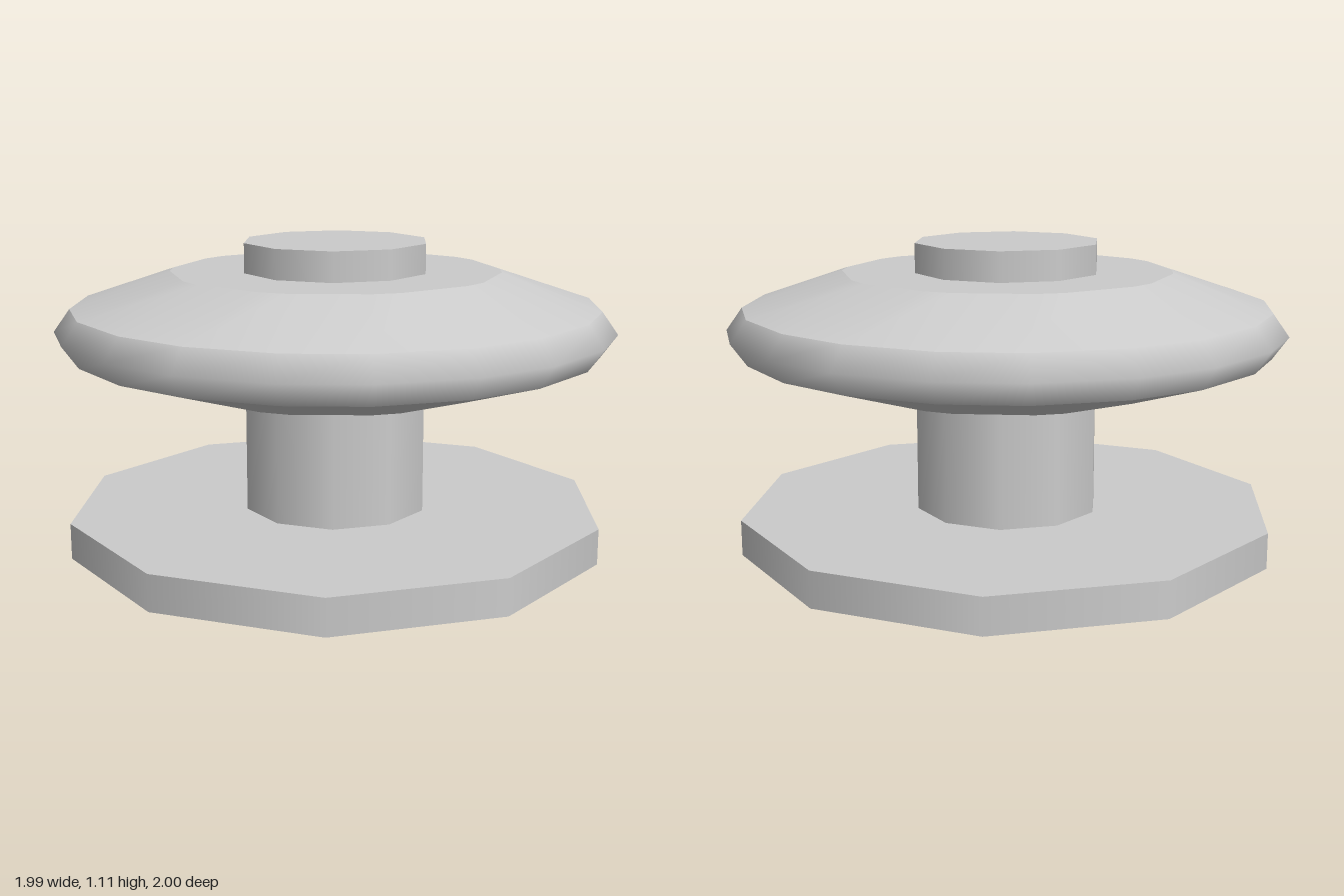
import * as THREE from 'three';

const material = new THREE.MeshStandardMaterial({ color: 0xcccccc });

function add(parent, name, geometry, y = 0) {
  const mesh = new THREE.Mesh(geometry, material);
  mesh.name = name;
  mesh.position.y = y;
  parent.add(mesh);
}

// Rings of the wheel: r = radius, y = height, a = half angle (degrees) of each corner pair.
const rings = [
  { r: 0.597, y: 0.605, a: 4.8 },
  { r: 0.953, y: 0.72, a: 9.6 },
  { r: 1.01, y: 0.8, a: 9.6 },
  { r: 0.953, y: 0.88, a: 9.6 },
  { r: 0.597, y: 1.003, a: 4.8 },
];

// Twenty points: a decagon whose corners are each cut into a pair.
function ringPoints({ r, y, a }) {
  const points = [];
  for (let i = 0; i < 10; i++) {
    for (const s of [-1, 1]) {
      const t = THREE.MathUtils.degToRad(i * 36 + s * a);
      points.push(r * Math.cos(t), y, r * Math.sin(t));
    }
  }
  return points;
}

// Smooth band joining a run of rings from bottom to top.
function band(list) {
  const n = 20, index = [];
  for (let k = 0; k < list.length - 1; k++) {
    for (let i = 0; i < n; i++) {
      const a = k * n + i, b = k * n + (i + 1) % n;
      index.push(a, a + n, b, b, a + n, b + n);
    }
  }
  return build(list.flatMap(ringPoints), index);
}

// Flat lid filling one ring.
function lid(ring, up) {
  const index = [];
  for (let i = 0; i < 20; i++) {
    const j = (i + 1) % 20;
    index.push(20, ...(up ? [j, i] : [i, j]));
  }
  return build([...ringPoints(ring), 0, ring.y, 0], index);
}

function build(positions, index) {
  const g = new THREE.BufferGeometry();
  g.setAttribute('position', new THREE.Float32BufferAttribute(positions, 3));
  g.setIndex(index);
  g.computeVertexNormals();
  return g;
}

export function createModel() {
  const model = new THREE.Group();

  // Ten-sided foot and the post running through the wheel
  add(model, 'base', new THREE.CylinderGeometry(0.983, 0.983, 0.13, 10), 0.065);
  add(model, 'post', new THREE.CylinderGeometry(0.338, 0.338, 1.05, 10), 0.585);

  // Bevelled wheel
  const wheel = new THREE.Group();
  wheel.name = 'wheel';
  add(wheel, 'wheelUnderside', lid(rings[0], false));
  add(wheel, 'wheelLowerSlope', band(rings.slice(0, 2)));
  add(wheel, 'wheelRim', band(rings.slice(1, 4)));
  add(wheel, 'wheelUpperSlope', band(rings.slice(3, 5)));
  add(wheel, 'wheelTop', lid(rings[4], true));
  model.add(wheel);

  return model;
}
